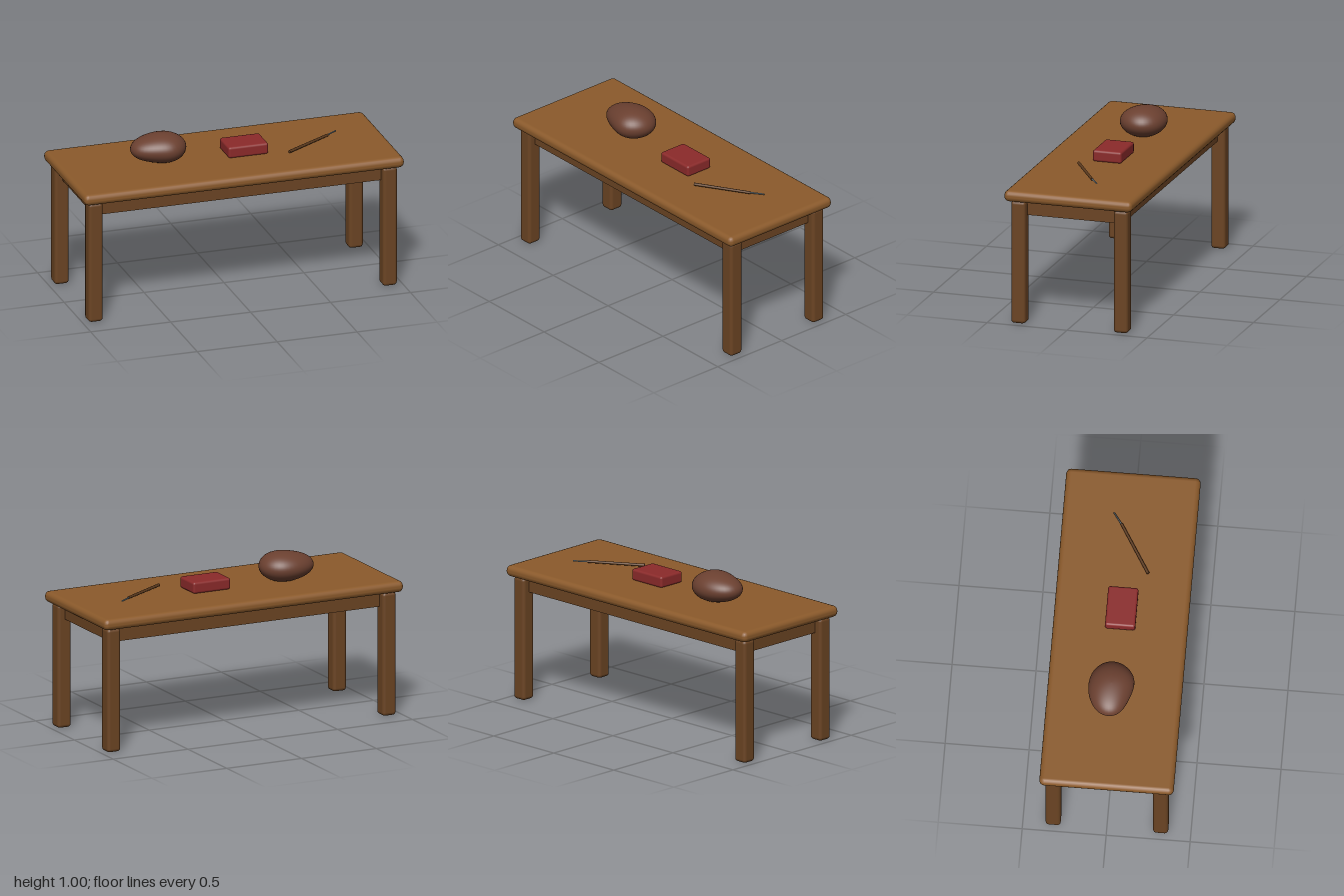
import * as THREE from 'three';
import { RoundedBoxGeometry } from 'three/addons/geometries/RoundedBoxGeometry.js';

const paint = (color) => new THREE.MeshStandardMaterial({ color });

export function createModel() {
  const model = new THREE.Group();
  model.name = 'tableWithObjects';
  const topWood = paint(0x8b5a2b);
  const legWood = paint(0x6b4423);

  const add = (name, geometry, material, x, y, z) => {
    const mesh = new THREE.Mesh(geometry, material);
    mesh.name = name;
    mesh.position.set(x, y, z);
    model.add(mesh);
    return mesh;
  };

  // Table: rounded top, solid frame below it, four legs
  add('tableTop', new RoundedBoxGeometry(2, 0.068, 0.8, 2, 0.03), topWood, 0, 0.791, 0);
  add('frame', new THREE.BoxGeometry(1.84, 0.095, 0.64), legWood, 0, 0.714, 0);
  const legGeometry = new RoundedBoxGeometry(0.09, 0.757, 0.09, 2, 0.02);
  for (const [side, x] of [['Left', 0.92], ['Right', -0.92]]) {
    for (const [end, z] of [['front', 0.32], ['back', -0.32]]) {
      add(`${end}${side}Leg`, legGeometry, legWood, x, 0.3785, z);
    }
  }

  // Lump: an egg shape, fuller towards +x and gently skewed
  const lump = new THREE.SphereGeometry(1, 40, 28);
  const p = lump.attributes.position;
  for (let i = 0; i < p.count; i++) {
    const x = p.getX(i), y = p.getY(i), z = p.getZ(i);
    const fullness = 1 + 0.13 * x * (1 - x * x);
    p.setXYZ(i, x * 0.17 + 0.008 * (1 - x * x),
      y * 0.089 * fullness,
      z * 0.134 * fullness + 0.018 * x * (1 - Math.abs(x)) + 0.004 * y);
  }
  lump.computeVertexNormals();
  // Keep the sphere's seam smooth
  const n = lump.attributes.normal;
  for (let row = 0; row <= 28; row++) {
    const a = row * 41, b = a + 40;
    const v = new THREE.Vector3().fromBufferAttribute(n, a)
      .add(new THREE.Vector3().fromBufferAttribute(n, b)).normalize();
    n.setXYZ(a, v.x, v.y, v.z);
    n.setXYZ(b, v.x, v.y, v.z);
  }
  add('lump', lump, paint(0x6b4030), -0.405, 0.907, -0.022);

  // Small red block
  add('redBlock', new RoundedBoxGeometry(0.25, 0.07, 0.18, 2, 0.014), paint(0x8b2a2a), 0.125, 0.859, 0);

  // Slim tool: wooden handle with a thin metal tip
  const rod = (name, from, to, r0, r1, material) => {
    const a = new THREE.Vector3(...from), b = new THREE.Vector3(...to);
    const dir = b.clone().sub(a);
    const mid = a.clone().add(b).multiplyScalar(0.5);
    const mesh = add(name, new THREE.CylinderGeometry(r1, r0, dir.length(), 12), material, mid.x, mid.y, mid.z);
    mesh.quaternion.setFromUnitVectors(new THREE.Vector3(0, 1, 0), dir.normalize());
  };
  rod('toolHandle', [0.363, 0.843, 0.138], [0.662, 0.843, -0.045], 0.009, 0.008, paint(0x5c3a1e));
  rod('toolTip', [0.65, 0.843, -0.038], [0.73, 0.843, -0.096], 0.005, 0.004, paint(0x70808a));

  return model;
}
